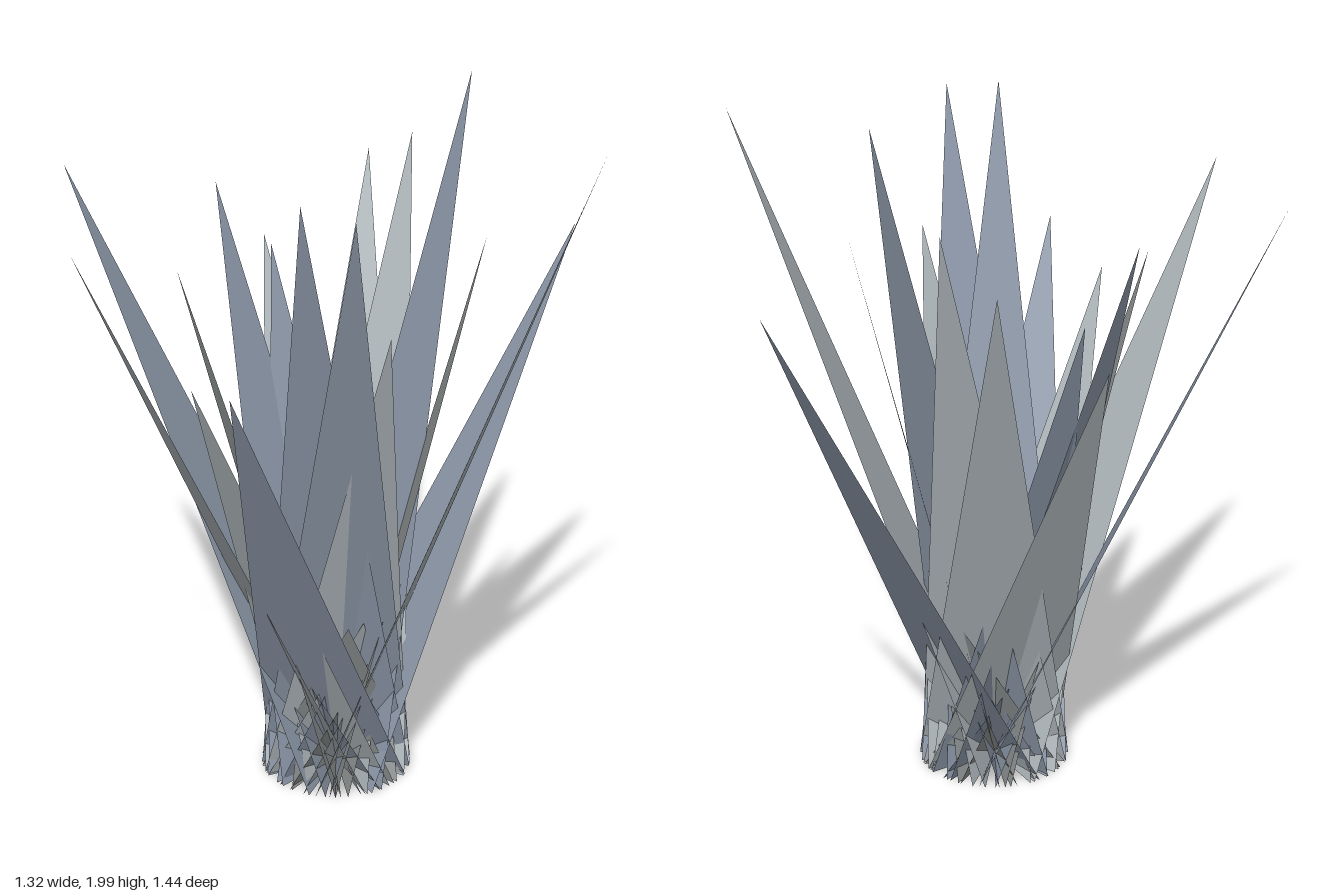
import * as THREE from 'three';

export function createModel() {
  const group = new THREE.Group();
  group.name = 'bladeTuft';

  const material = (name, color) => {
    const m = new THREE.MeshStandardMaterial({ color, side: THREE.DoubleSide, flatShading: true });
    m.name = name;
    return m;
  };
  const slate = material('slate blue', 0x8c97a8);
  const pale = material('pale grey', 0xb0b8bd);
  const grey = material('mid grey', 0x929696);

  const CX = 0.05, CZ = 0.015, HALF = 0.215;

  // One flat triangular blade: its base runs through the tuft centre, square to its lean
  function blade(name, x, y, z, mat) {
    const dx = x - CX, dz = z - CZ, r = Math.hypot(dx, dz);
    const px = (-dz / r) * HALF, pz = (dx / r) * HALF;
    const geo = new THREE.BufferGeometry();
    geo.setAttribute('position', new THREE.Float32BufferAttribute([
      CX + px, 0, CZ + pz, CX - px, 0, CZ - pz, x, y, z], 3));
    geo.computeVertexNormals();
    const mesh = new THREE.Mesh(geo, mat);
    mesh.name = name;
    group.add(mesh);
  }

  // Tall blades: tip position and colour
  const tall = [
    [0.23, 1.52, -0.72, slate], [0.66, 1.92, -0.37, pale], [0.62, 1.79, -0.34, pale],
    [0.32, 1.62, -0.28, grey], [0.09, 1.99, -0.44, slate], [-0.15, 1.75, -0.45, pale],
    [-0.36, 1.64, -0.48, pale], [-0.52, 1.4, -0.22, pale], [-0.35, 1.45, -0.1, slate],
    [-0.42, 1.65, 0.04, slate], [-0.66, 1.72, 0.38, slate], [-0.24, 1.52, 0.33, grey],
    [-0.19, 1.68, 0.72, pale], [0.08, 1.34, 0.55, pale], [0.33, 1.42, 0.63, slate],
    [0.34, 1.88, 0.4, slate], [0.48, 1.86, 0.34, slate], [0.44, 1.49, 0.18, pale],
  ];
  tall.forEach(([x, y, z, mat]) => blade('tallBlade', x, y, z, mat));

  // Short blades around the foot
  let seed = 7;
  const rand = () => (seed = (seed * 16807) % 2147483647) / 2147483647;
  const COUNT = 24;
  for (let i = 0; i < COUNT; i++) {
    const a = ((i + 0.6 * rand()) / COUNT) * Math.PI * 2;
    const h = 0.3 + 0.32 * rand();
    const lean = h * (0.2 + 0.25 * rand());
    blade('shortBlade', CX + Math.cos(a) * lean, h, CZ + Math.sin(a) * lean, [slate, pale, grey][i % 3]);
  }
  return group;
}
